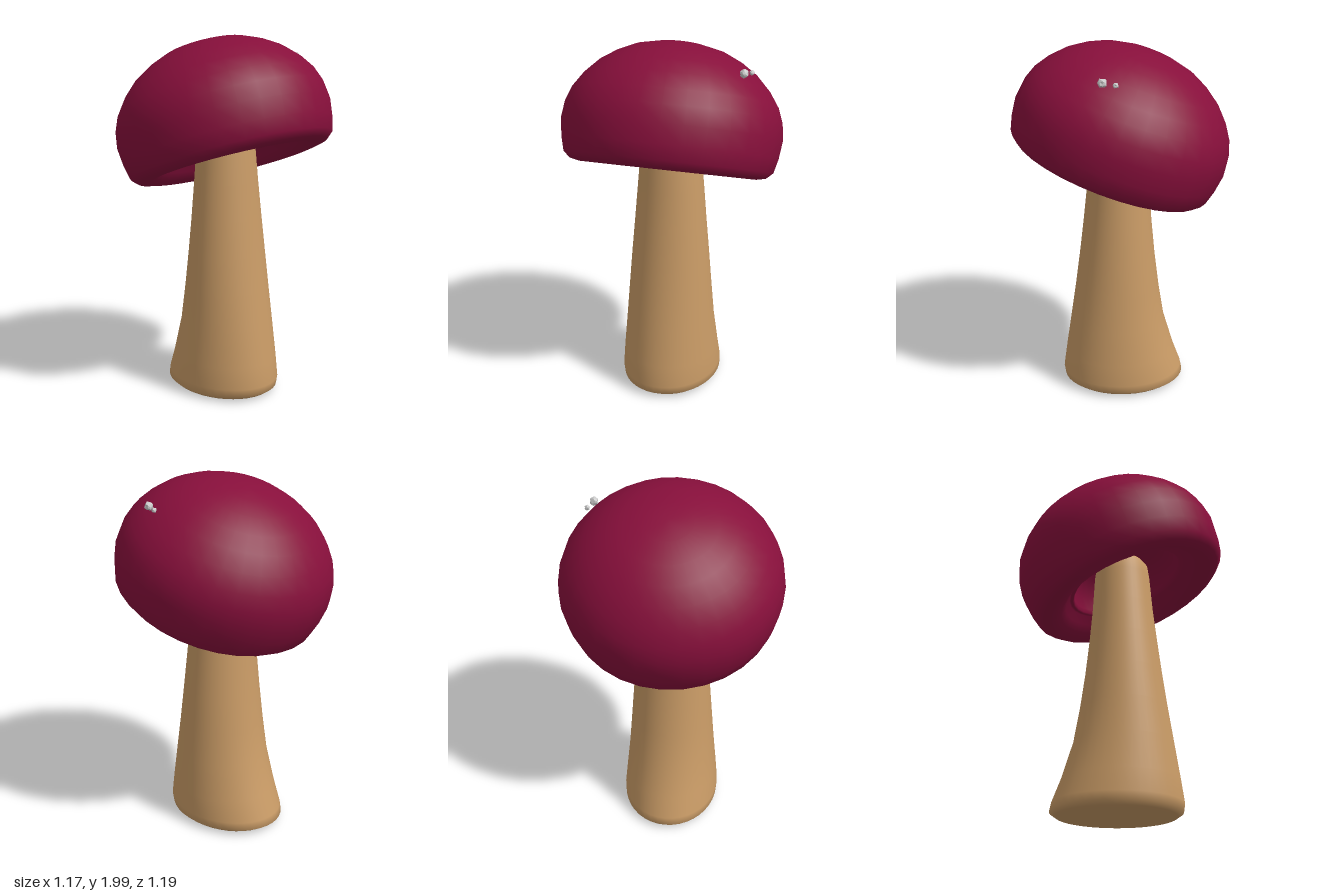
import * as THREE from 'three';
import { mergeVertices } from 'three/addons/utils/BufferGeometryUtils.js';

const vec = ([x, y]) => new THREE.Vector2(x, y);

// Weld the seam of a deformed surface and give it smooth normals.
function smooth(geometry) {
  geometry.deleteAttribute('uv');
  geometry.deleteAttribute('normal');
  const welded = mergeVertices(geometry, 1e-5);
  welded.computeVertexNormals();
  return welded;
}

function addMesh(group, name, geometry, color, flatShading = false) {
  const mesh = new THREE.Mesh(geometry, new THREE.MeshStandardMaterial({ color, flatShading }));
  mesh.name = name;
  group.add(mesh);
  return mesh;
}

// Stem: oval rings, each row is [y, left x, right x, half depth].
function stemGeometry() {
  const rings = [
    [0.005, -0.02, -0.02, 0], [0.007, -0.26, 0.22, 0.2], [0.014, -0.34, 0.295, 0.255],
    [0.035, -0.37, 0.325, 0.278], [0.08, -0.36, 0.332, 0.281], [0.2, -0.315, 0.315, 0.27],
    [0.4, -0.255, 0.285, 0.25], [0.6, -0.222, 0.255, 0.234], [0.8, -0.196, 0.228, 0.218],
    [1.0, -0.176, 0.204, 0.2], [1.2, -0.16, 0.182, 0.183], [1.4, -0.15, 0.166, 0.165],
    [1.47, -0.142, 0.156, 0.157], [1.5, -0.12, 0.134, 0.134], [1.515, 0.007, 0.007, 0],
  ];
  const segments = 40;
  const geometry = new THREE.LatheGeometry(rings.map((r) => new THREE.Vector2(1, r[0])), segments);
  const pos = geometry.attributes.position;
  for (let i = 0; i < pos.count; i++) {
    const [y, left, right, depth] = rings[i % rings.length];
    pos.setXYZ(i, (left + right) / 2 + pos.getX(i) * (right - left) / 2, y, pos.getZ(i) * depth);
  }
  return smooth(geometry);
}

// Cap: one profile from the hollow, over the ring and lip, to the crown.
function capGeometry() {
  const profile = [
    [0, 0.3], [0.13, 0.285], [0.24, 0.23], [0.3, 0.14], [0.32, 0.07], [0.326, 0.048],
    [0.336, 0.042], [0.345, 0.052], [0.355, 0.048], [0.39, 0.01], [0.43, -0.025],
    [0.48, -0.041], [0.53, -0.03], [0.566, 0.003], [0.585, 0.08], [0.597, 0.18],
    [0.585, 0.27], [0.555, 0.35], [0.502, 0.428], [0.43, 0.502], [0.345, 0.56],
    [0.25, 0.606], [0.13, 0.636], [0, 0.645],
  ];
  return smooth(new THREE.LatheGeometry(profile.map(vec), 32));
}

// Small lump: an icosahedron with uneven corners.
function lumpGeometry(radius) {
  const geometry = new THREE.IcosahedronGeometry(radius, 1);
  const pos = geometry.attributes.position;
  const p = new THREE.Vector3();
  for (let i = 0; i < pos.count; i++) {
    p.fromBufferAttribute(pos, i);
    const n = p.clone().divideScalar(radius);
    p.multiplyScalar(1 + 0.18 * Math.sin(5 * n.x + 2) * Math.cos(4 * n.y + 3 * n.z));
    pos.setXYZ(i, p.x, p.y, p.z);
  }
  return smooth(geometry);
}

export function createModel() {
  const model = new THREE.Group();
  model.name = 'mushroom';

  addMesh(model, 'stem', stemGeometry(), 0xc99b66);

  // The cap leans toward the right side.
  const cap = addMesh(model, 'cap', capGeometry(), 0x870f3b);
  cap.position.set(0.055, 1.335, 0);
  cap.rotation.z = THREE.MathUtils.degToRad(20.5);

  // Two lumps on the back of the cap.
  const lumps = [[0.13, 1.87, -0.42, 0.022], [0.068, 1.862, -0.445, 0.013]];
  lumps.forEach(([x, y, z, r], i) => {
    addMesh(model, `capLump${i + 1}`, lumpGeometry(r), 0xcccccc, true).position.set(x, y, z);
  });
  return model;
}
